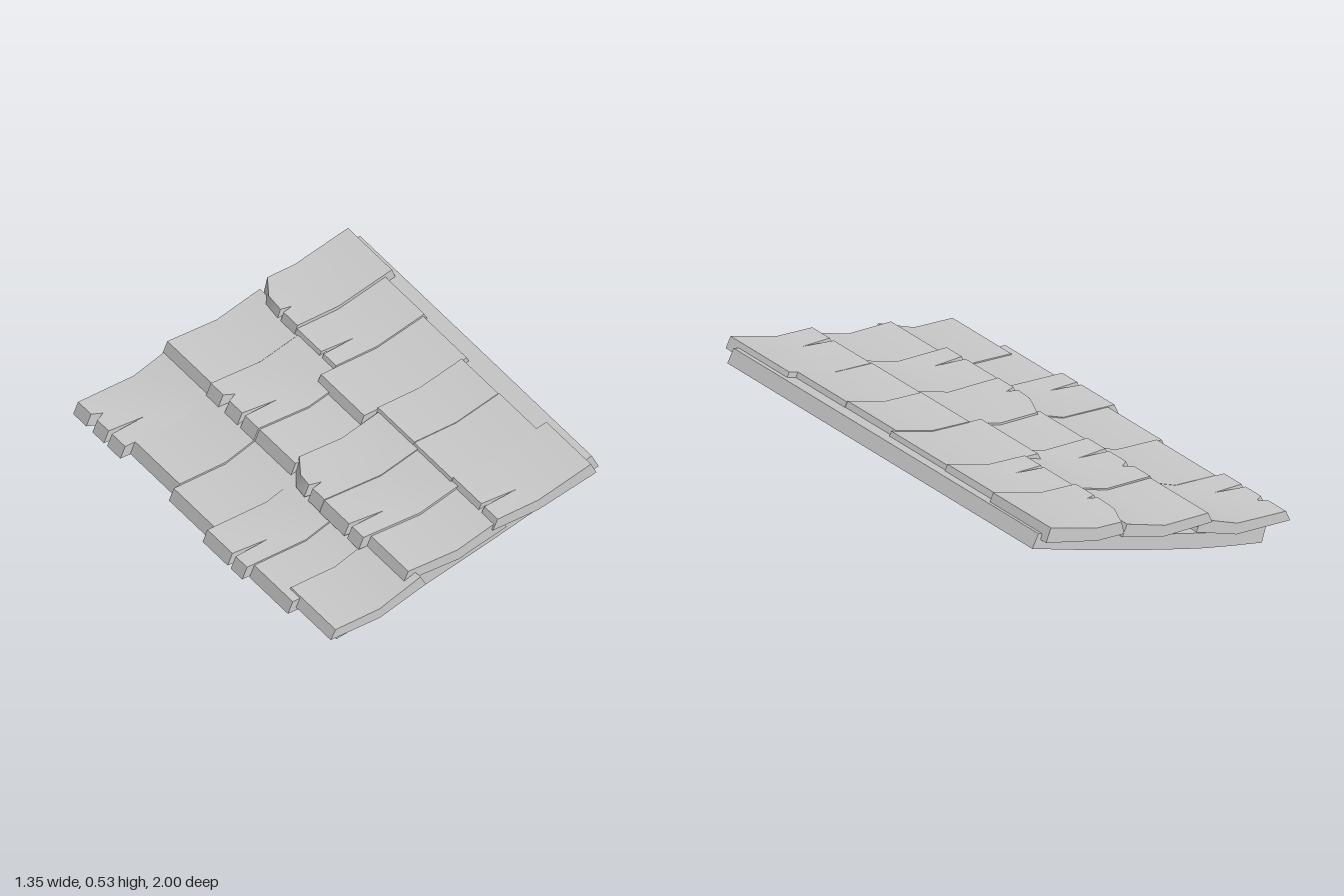
import * as THREE from 'three';
import { toCreasedNormals } from 'three/addons/utils/BufferGeometryUtils.js';

const material = new THREE.MeshStandardMaterial({ color: 0xcccccc });

// Underside of each course: [x, y] at the lower edge, the bend and the upper edge
const courses = [
  {
    name: 'lowerShingle', line: [[-0.605, 0.073], [-0.38, 0.108], [-0.17, 0.2]],
    tiles: [
      { x: -0.66, z: [-0.98, -0.6], lift: -0.006, notches: [[-0.85, 0.045, 0.025], [-0.72, 0.17, 0.013]] },
      { x: -0.615, z: [-0.6, -0.24], lift: -0.004 },
      { x: -0.642, z: [-0.24, 0.09], lift: -0.012 },
      { x: -0.675, z: [0.09, 0.41], lift: -0.008, notches: [[0.305, 0.17, 0.013]] },
      { x: -0.642, z: [0.41, 0.72], lift: -0.014 },
      { x: -0.605, z: [0.64, 1], t: 0.042 },
    ],
  },
  {
    name: 'middleShingle', line: [[-0.25, 0.213], [0, 0.244], [0.22, 0.327]],
    tiles: [
      { x: -0.25, z: [-0.985, -0.63] },
      { x: -0.255, z: [-0.625, -0.24], lift: 0.004, notches: [[-0.5, 0.045, 0.025], [-0.36, 0.165, 0.012]] },
      { x: -0.25, z: [-0.24, 0.05], lift: -0.003 },
      { x: -0.285, z: [0.03, 0.345], lift: 0.006, chip: true, notches: [[0.235, 0.055, 0.015]] },
      { x: -0.285, z: [0.345, 0.66], lift: 0.002, notches: [[0.555, 0.17, 0.012]] },
      { x: -0.25, z: [0.66, 0.96], lift: -0.002, t: 0.045 },
    ],
  },
  {
    name: 'upperShingle', line: [[0.15, 0.335], [0.36, 0.368], [0.63, 0.463]],
    tiles: [
      { x: 0.152, z: [-1, -0.645], end: 0.63, lift: 0.004, t: 0.06, chip: true, notches: [[-0.77, 0.05, 0.012]] },
      { x: 0.15, z: [-0.645, -0.33], end: 0.6, notches: [[-0.44, 0.16, 0.01]] },
      { x: 0.08, z: [-0.33, 0.02], end: 0.595, lift: -0.008 },
      { x: 0.145, z: [0.015, 0.31], end: 0.575, lift: -0.003 },
      { x: 0.145, z: [0.31, 0.615], end: 0.58, lift: -0.006 },
      { x: 0.152, z: [0.61, 0.97], end: 0.625, t: 0.046, notches: [[0.85, 0.17, 0.012]] },
    ],
  },
];

// Height of the course underside at x, extended straight past its ends
function heightAt([a, b, c], x) {
  const [p, q] = x < b[0] ? [a, b] : [b, c];
  return p[1] + (q[1] - p[1]) * (x - p[0]) / (q[0] - p[0]);
}

// Bent shingle with a bevelled edge, splits and an optional chipped corner
function shingleGeometry(line, { x, z: [z0, z1], end = line[2][0], lift = 0, t = 0.05, chip, notches = [] }) {
  const bend = line[1][0];
  const front = chip ? [[x + 0.07, z0], [x + 0.008, z0 + 0.11]] : [[x, z0]];
  for (const [z, depth, w] of notches) front.push([x, z - w], [x + depth, z], [x, z + w]);
  front.push([x, z1]);
  const panels = [
    [[bend, z0], ...front, [bend, z1]],
    [[bend, z0], [bend, z1], [end, z1], [end, z0]],
  ];
  const outline = [...panels[0], [end, z1], [end, z0]];

  const low = ([px, pz]) => [px, heightAt(line, px) + lift, pz];
  const high = ([px, pz]) => {
    const inset = 0.022 - 0.047 * (px - x) / (end - x);
    return [px + inset, heightAt(line, px) + lift + t, pz];
  };
  const pos = [];
  const tri = (...corners) => corners.forEach((c) => pos.push(...c));

  // Upper and lower faces
  for (const panel of panels) {
    const flat = panel.map(([px, pz]) => new THREE.Vector2(px, -pz));
    for (const [i, j, k] of THREE.ShapeUtils.triangulateShape(flat, [])) {
      tri(high(panel[i]), high(panel[j]), high(panel[k]));
      tri(low(panel[k]), low(panel[j]), low(panel[i]));
    }
  }
  // Edge walls
  outline.forEach((p, i) => {
    const q = outline[(i + 1) % outline.length];
    tri(low(p), low(q), high(q));
    tri(low(p), high(q), high(p));
  });
  const geometry = new THREE.BufferGeometry();
  geometry.setAttribute('position', new THREE.Float32BufferAttribute(pos, 3));
  return toCreasedNormals(geometry, 0.5);
}

// Gently curved board under the shingles
function deckGeometry() {
  const shape = new THREE.Shape([
    [-0.525, 0], [-0.36, 0.049], [-0.2, 0.1], [0, 0.173], [0.2, 0.249], [0.4, 0.328], [0.672, 0.44],
    [0.64, 0.498], [0.37, 0.388], [0.17, 0.308], [-0.03, 0.234], [-0.22, 0.164], [-0.38, 0.113], [-0.545, 0.065],
  ].map(([x, y]) => new THREE.Vector2(x, y)));
  const geometry = new THREE.ExtrudeGeometry(shape, { depth: 1.87, bevelEnabled: false });
  geometry.translate(0, 0, -0.965);
  return toCreasedNormals(geometry, 0.5);
}

export function createModel() {
  const group = new THREE.Group();
  group.name = 'shingleRoof';
  const add = (geometry, name) => {
    const mesh = new THREE.Mesh(geometry, material);
    mesh.name = name;
    group.add(mesh);
  };
  add(deckGeometry(), 'roofDeck');
  for (const { name, line, tiles } of courses) {
    tiles.forEach((tile, i) => add(shingleGeometry(line, tile), `${name}${i + 1}`));
  }
  return group;
}
